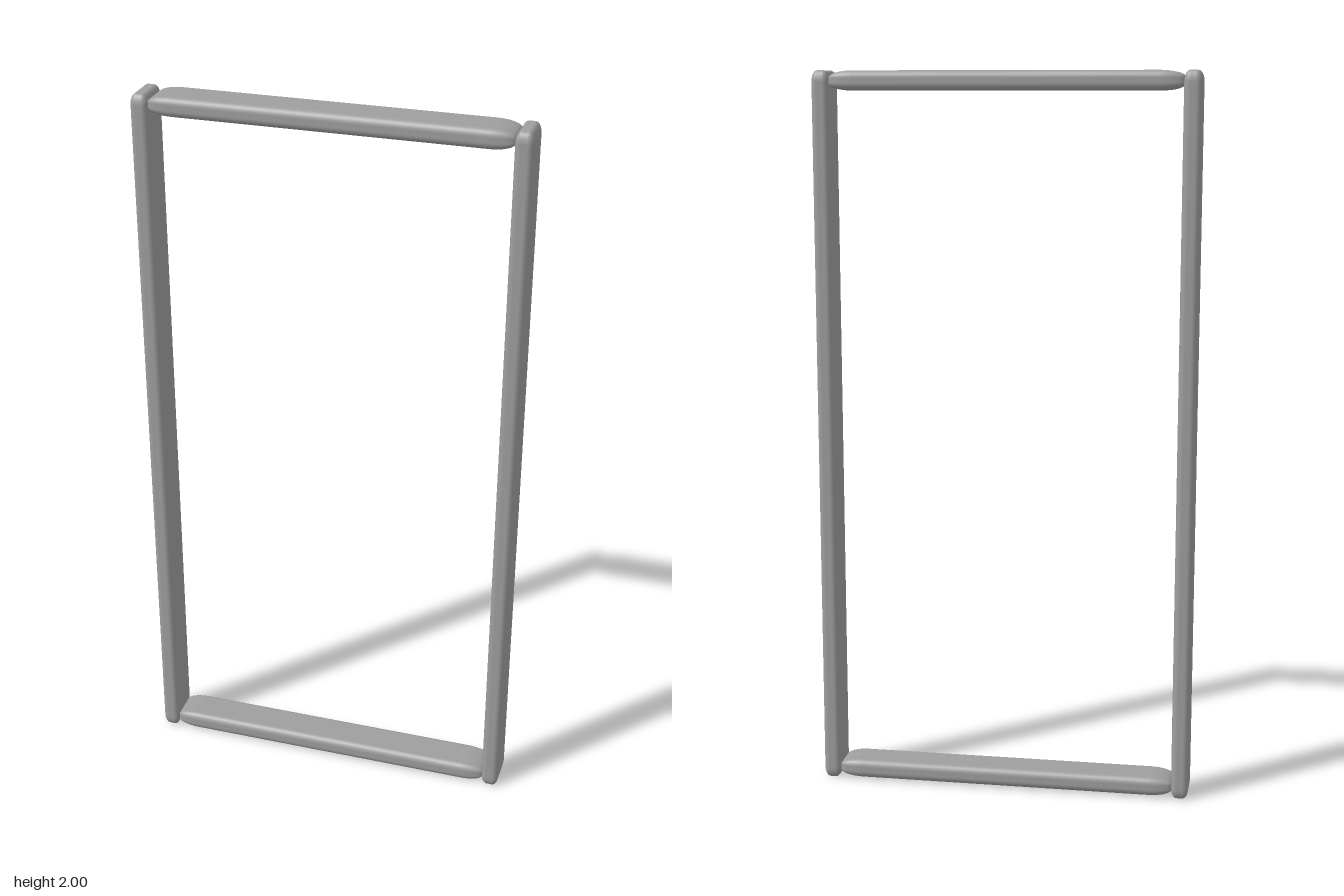
import * as THREE from 'three';
import { RoundedBoxGeometry } from 'three/addons/geometries/RoundedBoxGeometry.js';

const material = new THREE.MeshStandardMaterial({ color: 0x9e9e9e });

// Rounded bar of the given size, with a separate edge radius along each axis
function bar(name, size, radii) {
  const r = 0.1;
  const [sx, sy, sz] = radii.map((v) => v / r);
  const geometry = new RoundedBoxGeometry(size[0] / sx, size[1] / sy, size[2] / sz, 6, r);
  geometry.scale(sx, sy, sz);
  const mesh = new THREE.Mesh(geometry, material);
  mesh.name = name;
  return mesh;
}

export function createModel() {
  const frame = new THREE.Group();
  frame.name = 'doorFrame';

  // Upright posts, full height
  for (const side of [-1, 1]) {
    const post = bar(side > 0 ? 'leftPost' : 'rightPost', [0.048, 2, 0.113], [0.016, 0.03, 0.017]);
    post.position.set(side * 0.499, 1, 0);
    frame.add(post);
  }

  // Cross rails between the posts, with long tapered ends
  for (const [name, y] of [['bottomRail', 0.031], ['topRail', 1.973]]) {
    const rail = bar(name, [0.954, 0.053, 0.113], [0.065, 0.02, 0.018]);
    rail.position.y = y;
    frame.add(rail);
  }
  return frame;
}
